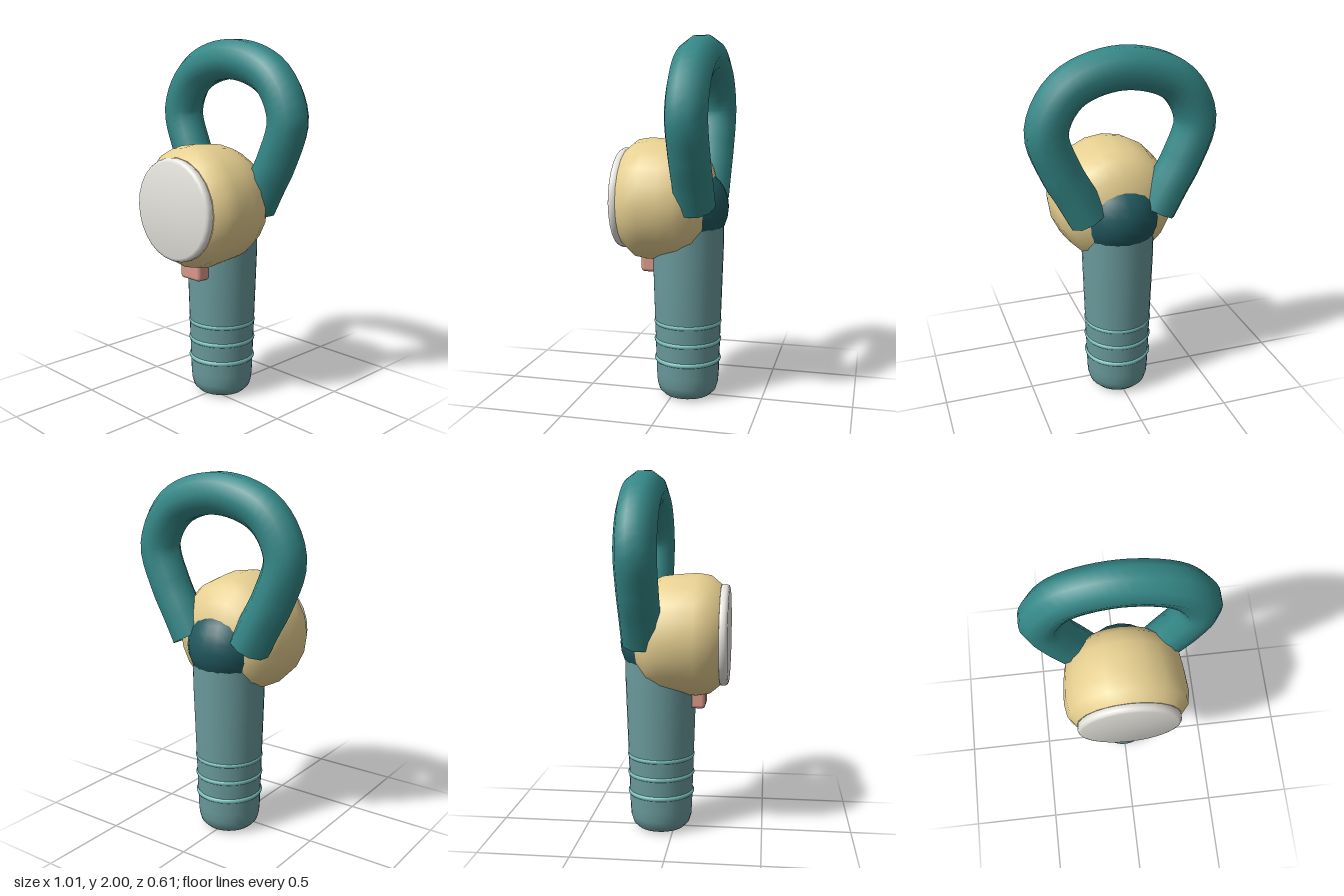
import * as THREE from 'three';
import { toCreasedNormals } from 'three/addons/utils/BufferGeometryUtils.js';
import { RoundedBoxGeometry } from 'three/addons/geometries/RoundedBoxGeometry.js';

const GRIP_Z = -0.075;
const HEAD_Y = 1.115;

const paint = (color, side = THREE.FrontSide) => new THREE.MeshStandardMaterial({ color, side });

function lathe(points, segments, crease = 0.75) {
  const profile = points.map(([r, y]) => new THREE.Vector2(r, y));
  return toCreasedNormals(new THREE.LatheGeometry(profile, segments), crease);
}

export function createModel() {
  const model = new THREE.Group();
  const add = (name, geometry, material, x = 0, y = 0, z = 0) => {
    const mesh = new THREE.Mesh(geometry, material);
    mesh.name = name;
    mesh.position.set(x, y, z);
    model.add(mesh);
    return mesh;
  };

  // Tapered grip with a rounded foot
  add('grip', lathe([
    [0, 0], [0.1, 0], [0.135, 0.01], [0.16, 0.035], [0.172, 0.075], [0.176, 0.13],
    [0.198, 0.85], [0.198, 0.99], [0, 1.0],
  ], 32), paint(0x6a9a9c), 0, 0, GRIP_Z);

  // Raised rings around the grip
  const ringPaint = paint(0x78c0bc);
  [0.215, 0.325, 0.43].forEach((y, i) => {
    const ring = new THREE.TorusGeometry(0.173 + i * 0.001, 0.015, 8, 32).rotateX(Math.PI / 2);
    add('gripRing' + (i + 1), ring, ringPaint, 0, y, GRIP_Z);
  });

  // Ball joint behind the head
  add('ballJoint', new THREE.SphereGeometry(0.226, 20, 14), paint(0x20585e), 0, 1.075, GRIP_Z);

  // Round head, turned about the front-back axis
  const head = lathe([
    [0, -0.235], [0.12, -0.225], [0.215, -0.19], [0.285, -0.135], [0.32, -0.06],
    [0.33, 0.02], [0.338, 0.13], [0.326, 0.205], [0.28, 0.26], [0, 0.26],
  ], 20).rotateX(Math.PI / 2);
  add('head', head, paint(0xe6cf90), 0, HEAD_Y, 0);

  // Pale face plate with a softened rim
  const plate = lathe([
    [0, 0.24], [0.27, 0.255], [0.279, 0.266], [0.279, 0.288], [0.272, 0.3], [0.258, 0.305], [0, 0.305],
  ], 28).rotateX(Math.PI / 2);
  add('facePlate', plate, paint(0xe6e4de), 0, HEAD_Y, 0);

  // Trigger under the head
  add('trigger', new RoundedBoxGeometry(0.15, 0.18, 0.11, 3, 0.02), paint(0xd9988a), 0, 0.8, 0.123);

  // Thick loop rising behind the head, mirrored about the middle
  const half = [[0.19, 1.11], [0.255, 1.235], [0.335, 1.385], [0.4, 1.6], [0.285, 1.805]];
  const path = [
    ...half.map(([x, y]) => new THREE.Vector3(-x, y, 0)),
    new THREE.Vector3(0, 1.893, 0),
    ...half.map(([x, y]) => new THREE.Vector3(x, y, 0)).reverse(),
  ];
  const loop = new THREE.TubeGeometry(new THREE.CatmullRomCurve3(path), 48, 0.112, 10, false);
  add('loop', loop, paint(0x358888, THREE.DoubleSide), 0, 0, -0.155);

  return model;
}
